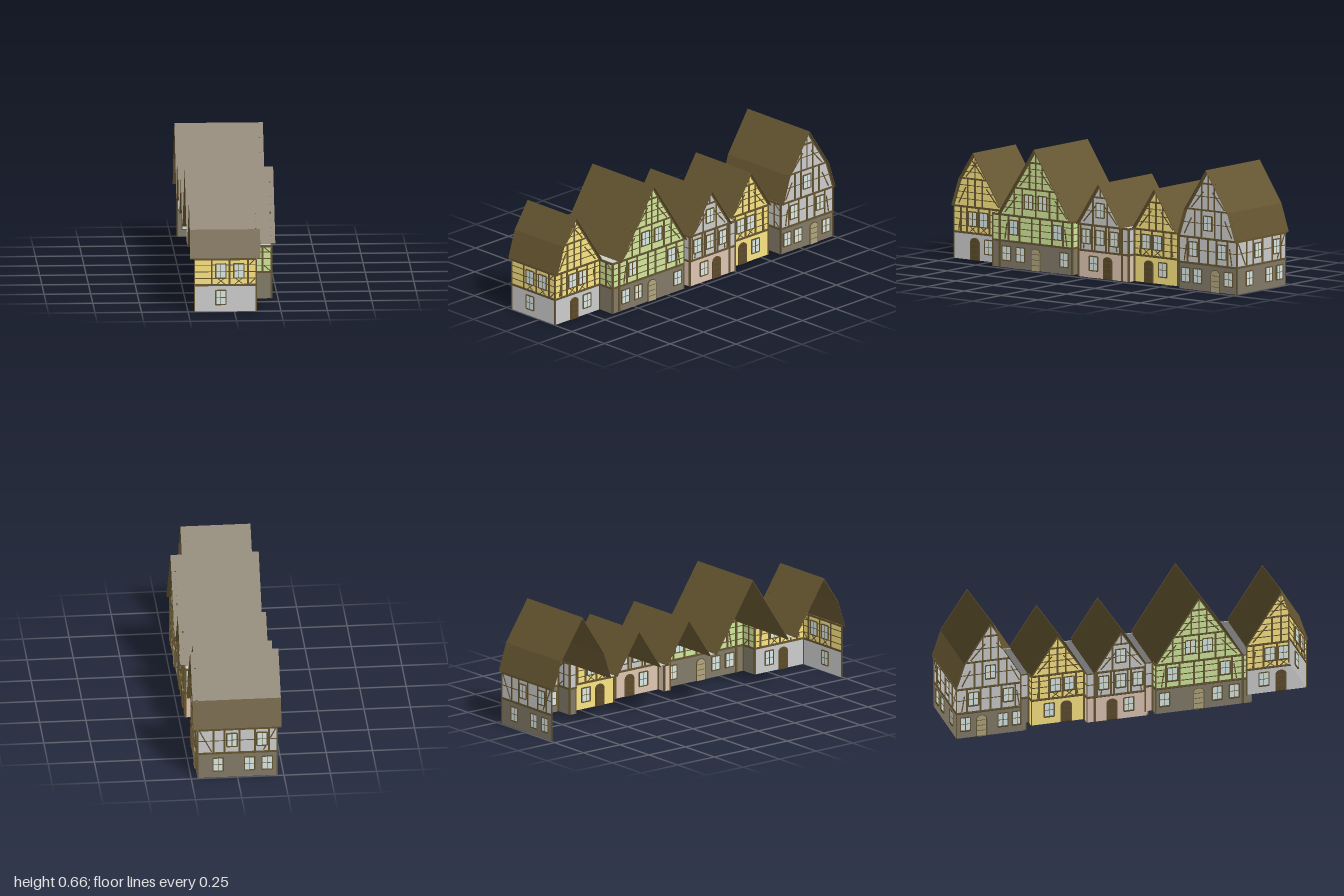
import * as THREE from 'three';

const mat = (color) => new THREE.MeshStandardMaterial({ color, side: THREE.DoubleSide, flatShading: true });
const M = {
  timber: mat(0x655530), roof: mat(0x655530), grey: mat(0xcccccc), yellow: mat(0xfae482), green: mat(0xd0e79b),
  stone: mat(0x827a68), pink: mat(0xdec4b2), glass: mat(0xd8e8e8), darkDoor: mat(0x5c4a28), paleDoor: mat(0xb0a57e),
};
const FLOOR = 0.145, EAVE = 0.292, COLLAR = 0.44, TIE = 0.585;
const PITCH = 1.51, KICK = 0.049, BACK = -0.238;

function add(parent, name, geometry, material) {
  const mesh = new THREE.Mesh(geometry, material);
  mesh.name = name;
  parent.add(mesh);
  return mesh;
}

function group(parent, name, x, z, turn) {
  const g = new THREE.Group();
  g.name = name;
  g.position.set(x, 0, z);
  g.rotation.y = turn;
  parent.add(g);
  return g;
}

function panel(g, name, u0, u1, v0, v1, material) {
  add(g, name, new THREE.PlaneGeometry(u1 - u0, v1 - v0), material).position.set((u0 + u1) / 2, (v0 + v1) / 2, 0);
}

// Timber between two points of a wall, showing on both faces
function beam(g, u1, v1, u2, v2, w = 0.01, depth = 0.007) {
  const m = add(g, 'timber', new THREE.BoxGeometry(Math.hypot(u2 - u1, v2 - v1), w, depth), M.timber);
  m.position.set((u1 + u2) / 2, (v1 + v2) / 2, 0);
  m.rotation.z = Math.atan2(v2 - v1, u2 - u1);
}

// Framed window with glazing bars; optional crossed braces below
function windowAt(parent, u, v, cross = false) {
  const w = 0.028, h = 0.039;
  const g = group(parent, 'window', u, 0, 0);
  g.position.y = v;
  add(g, 'pane', new THREE.BoxGeometry(w * 2, h * 2, 0.008), M.glass);
  for (const s of [-1, 1]) {
    beam(g, s * w, -h, s * w, h, 0.006, 0.012);
    beam(g, -w, s * h, w, s * h, 0.006, 0.012);
    if (cross) beam(g, -s * 0.02, -h - 0.032, s * 0.02, -h, 0.004);
  }
  beam(g, 0, -h, 0, h, 0.003, 0.01);
  beam(g, -w, 0, w, 0, 0.003, 0.01);
}

// Arched door with a timber surround
function doorAt(parent, u, material) {
  const g = group(parent, 'door', u, 0, 0);
  const slab = (name, w, depth, m) => {
    const s = new THREE.Shape();
    s.moveTo(-w, 0).lineTo(w, 0).lineTo(w, 0.097).absellipse(0, 0.097, w, w * 0.8, 0, Math.PI, false);
    const geo = new THREE.ExtrudeGeometry(s, { depth, bevelEnabled: false, curveSegments: 8 });
    add(g, name, geo.translate(0, 0, -depth / 2), m);
  };
  slab('doorFrame', 0.031, 0.009, M.timber);
  slab('doorLeaf', 0.026, 0.012, material);
  for (let v = 0.03; v < 0.1; v += 0.03) beam(g, -0.024, v, 0.024, v, 0.003, 0.014);
}

// Plain ground floor with a timbered upper floor
function wall(g, u0, u1, style, posts = []) {
  panel(g, 'groundWall', u0, u1, 0, FLOOR, M[style.base]);
  panel(g, 'upperWall', u0, u1, FLOOR, EAVE, M[style.upper]);
  for (const v of [FLOOR, EAVE - 0.006]) beam(g, u0, v, u1, v, 0.011, 0.008);
  for (const u of [u0 + 0.003, u1 - 0.003]) beam(g, u, 0, u, EAVE, 0.006);
  for (const u of posts) beam(g, u, FLOOR, u, EAVE);
  const step = style.upper === 'grey' ? 0.074 : 0.0365;
  for (let v = FLOOR + step; v < EAVE - 0.02; v += step) beam(g, u0, v, u1, v, 0.004, 0.005);
}

// Gable-fronted house; wall coordinates are u = -z, v = y
function house(parent, h) {
  const { x, ridge, top } = h;
  const g = group(parent, 'house', x, 0, Math.PI / 2);

  // Half width of the gable at height v; a kicked side steepens below the collar
  const half = (v, kick) => (kick && v < COLLAR
    ? (top - COLLAR) / PITCH + KICK * (COLLAR - v) / (COLLAR - EAVE)
    : (top - v) / PITCH);
  const edge = (v, side) => ridge + side * half(Math.max(v, EAVE), side < 0 ? h.kickLeft : h.kickRight);
  h.left = edge(EAVE, -1);
  h.right = edge(EAVE, 1);
  const slope = (side) => [EAVE, COLLAR, top].map((v) => [edge(v, side), v]);
  const profile = [...slope(-1), ...slope(1).reverse().slice(1)];
  const shapeOf = (points) => new THREE.Shape(points.map(([u, v]) => new THREE.Vector2(u, v)));

  // Posts stand at both sides of each window, plus any extra ones
  wall(g, h.left, h.right, h, [...h.first.flatMap((u) => [u - 0.038, u + 0.038]), ...h.posts]);
  add(g, 'gable', new THREE.ShapeGeometry(shapeOf(profile)).translate(0, -0.004, 0), M[h.upper]);

  // Gable framing: ties, thin rails, posts, braces and rafters
  const across = (v, w, d) => beam(g, edge(v, -1), v, edge(v, 1), v, w, d);
  across(COLLAR, 0.009, 0.008);
  if (top > 0.6) across(TIE, 0.009, 0.008);
  const step = h.upper === 'grey' ? 0.074 : 0.037;
  for (let v = EAVE + step; v < top - 0.06; v += step) across(v, 0.004, 0.005);
  beam(g, ridge, COLLAR, ridge, top - 0.01, 0.007);
  for (const s of [-1, 1]) {
    for (const d of h.high) beam(g, ridge + s * d, EAVE, ridge + s * d, COLLAR, 0.009);
    if (top > 0.6) beam(g, ridge + s * 0.043, COLLAR, ridge + s * 0.043, TIE, 0.008);
    for (const v of [FLOOR, EAVE, COLLAR]) {
      if (v < top - 0.14) beam(g, edge(v, s) - s * 0.035, v + 0.01, edge(v + 0.1, s) - s * 0.05, v + 0.1, 0.006);
    }
    const line = slope(s);
    for (let i = 0; i < 2; i++) beam(g, line[i][0], line[i][1] - 0.009, line[i + 1][0], line[i + 1][1] - 0.009, 0.008);
  }

  // Openings
  doorAt(g, h.door, M[h.leaf]);
  for (const u of h.ground) windowAt(g, u, 0.078);
  for (const u of h.first) windowAt(g, u, 0.222, h.upper === 'yellow');
  for (const u of h.second) windowAt(g, u, 0.37);

  // Thin roof, overhanging the gable and open at the back
  const under = [...profile].reverse().map(([u, v]) => [u, v - 0.006]);
  const geo = new THREE.ExtrudeGeometry(shapeOf([...profile, ...under]), { depth: x + 0.022 - BACK, bevelEnabled: false });
  add(g, 'roof', geo.translate(0, 0, BACK - x), M.roof);
  return h;
}

// Short wall facing along the row where the street front steps in or out
function sideReturn(parent, u, xa, xb, facing, style) {
  const w = Math.abs(xb - xa) / 2;
  const g = group(parent, 'sideReturn', (xa + xb) / 2, -u, facing > 0 ? 0 : Math.PI);
  wall(g, -w, w, style, w > 0.04 ? [0] : []);
  if (w > 0.04) for (const v of [0.15, 0.25]) beam(g, 0.008, v + 0.03, w - 0.006, v, 0.005);
}

// Narrow link between two neighbours, with a flat framed top
function link(parent, prev, next, x, style) {
  const u0 = prev.right, u1 = next.left, depth = x + 0.216;
  const g = group(parent, 'link', x, 0, Math.PI / 2);
  wall(g, u0, u1, style);
  const slab = (name, u, w, t, m) =>
    add(g, name, new THREE.BoxGeometry(w, t, depth), m).position.set(u, EAVE - 0.004, -depth / 2);
  slab('linkTop', (u0 + u1) / 2, u1 - u0, 0.004, M.grey);
  for (const u of [u0 + 0.002, u1 - 0.002]) slab('linkTopEdge', u, 0.004, 0.006, M.timber);
  if (prev.x !== x) sideReturn(parent, u0, prev.x, x, prev.x > x ? -1 : 1, prev.x > x ? prev : style);
  if (next.x !== x) sideReturn(parent, u1, next.x, x, next.x > x ? 1 : -1, next.x > x ? next : style);
}

export function createModel() {
  const model = new THREE.Group();
  model.name = 'houseRow';

  // Houses from the front (+z) end to the back
  const a = house(model, {
    x: 0.118, ridge: -0.855, top: 0.585, kickLeft: true, base: 'grey', upper: 'yellow', door: -0.855, leaf: 'darkDoor',
    ground: [-0.76], first: [-0.87, -0.795], second: [], posts: [-0.95, -0.7], high: [0, 0.05],
  });
  const b = house(model, {
    x: 0.216, ridge: -0.367, top: 0.662, base: 'stone', upper: 'green', door: -0.367, leaf: 'paleDoor',
    ground: [-0.565, -0.47, -0.175], first: [-0.515, -0.22], second: [-0.415, -0.32], posts: [-0.395, -0.34],
    high: [0, 0.092, 0.147],
  });
  const c = house(model, {
    x: 0.216, ridge: 0.069, top: 0.516, base: 'pink', upper: 'grey', door: 0.12, leaf: 'darkDoor',
    ground: [0.025], first: [-0.025, 0.07, 0.165], second: [0.07], posts: [], high: [0.048],
  });
  const d = house(model, {
    x: 0.168, ridge: 0.411, top: 0.516, base: 'yellow', upper: 'yellow', door: 0.362, leaf: 'darkDoor',
    ground: [0.457], first: [0.345, 0.422], second: [], posts: [0.515], high: [0, 0.046],
  });
  const e = house(model, {
    x: 0.216, ridge: 0.8, top: 0.662, kickLeft: true, kickRight: true, base: 'stone', upper: 'grey', door: 0.85,
    leaf: 'paleDoor', ground: [0.65, 0.73, 0.94], first: [0.7, 0.895], second: [0.8], posts: [0.8], high: [0.045, 0.09],
  });

  link(model, a, b, 0.216, b);
  link(model, b, c, 0.165, c);
  link(model, c, d, 0.216, c);
  link(model, d, e, 0.12, e);

  // End wall at the front of the row
  const front = group(model, 'frontEndWall', 0, 0.996, 0);
  wall(front, -0.217, a.x, a, [-0.122, -0.026, 0.072]);
  for (const u of [-0.073, 0.024]) windowAt(front, u, 0.222, true);
  windowAt(front, -0.073, 0.077);
  for (const v of [0.152, 0.258]) beam(front, 0.082, v, 0.11, v + 0.026, 0.005);

  // End wall at the back of the row
  const back = group(model, 'backEndWall', 0, -0.992, Math.PI);
  wall(back, -e.x, 0.217, e, [-0.13, -0.07, 0.01, 0.095, 0.17]);
  for (const u of [-0.03, 0.132]) windowAt(back, u, 0.222);
  for (const u of [-0.105, 0.065, 0.16]) windowAt(back, u, 0.078);
  for (const s of [-1, 1]) beam(back, s * 0.205, 0.28, s * 0.14, 0.155, 0.006);
  return model;
}
